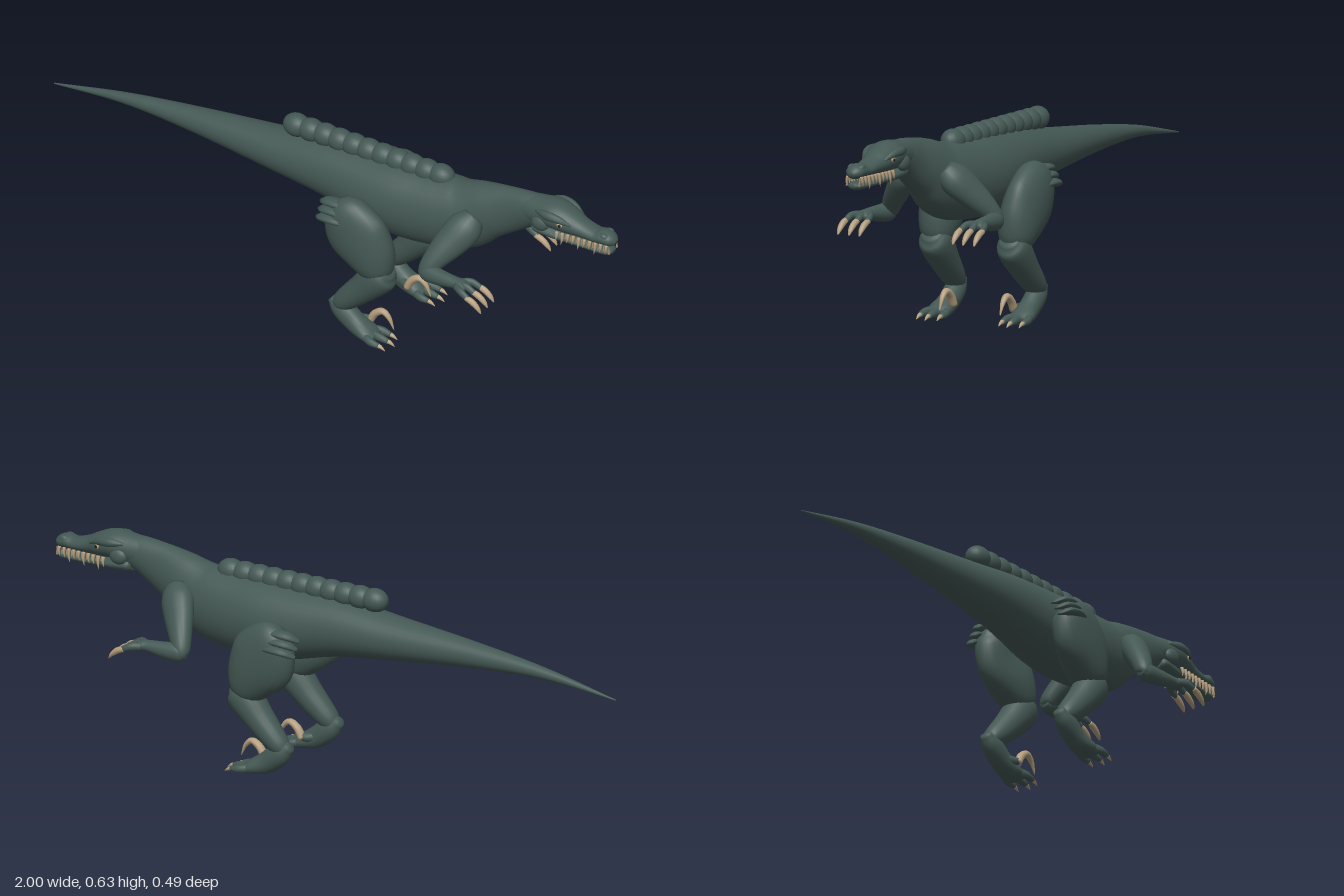
import * as THREE from 'three';

const mat = (name, color) => {
  const m = new THREE.MeshStandardMaterial({ color });
  m.name = name;
  return m;
};

export function createModel() {
  const skin = mat('dark green skin', 0x445854);
  const horn = mat('tan horn', 0xb39d7d);
  const dark = mat('pupil black', 0x15181a);
  const model = new THREE.Group();
  model.name = 'longTailedRaptor';

  // Smooth tube through elliptical sections [x, y, z, halfHeight, halfWidth]
  function loft(parent, name, sections, material = skin, sides = 20, sub = 5) {
    const curve = (f) => new THREE.CatmullRomCurve3(sections.map(f), false, 'catmullrom', 0.5);
    const path = curve((s) => new THREE.Vector3(s[0], s[1], s[2]));
    const size = curve((s) => new THREE.Vector3(s[3], s[4], 0));
    const rings = (sections.length - 1) * sub;
    const pos = [], index = [];
    const ring = (t, k) => {
      const c = path.getPoint(t), r = size.getPoint(t), tan = path.getTangent(t);
      const side = new THREE.Vector3(0, 0, 1).addScaledVector(tan, -tan.z).normalize();
      const up = side.clone().cross(tan);
      for (let j = 0; j < sides; j++) {
        const a = (j / sides) * Math.PI * 2;
        const p = c.clone()
          .addScaledVector(up, Math.cos(a) * Math.max(r.x, 0) * k)
          .addScaledVector(side, Math.sin(a) * Math.max(r.y, 0) * k);
        pos.push(p.x, p.y, p.z);
      }
    };
    ring(0, 0);
    for (let i = 0; i <= rings; i++) ring(i / rings, 1);
    ring(1, 0);
    for (let i = 0; i < rings + 2; i++) {
      for (let j = 0; j < sides; j++) {
        const a = i * sides + j, b = i * sides + (j + 1) % sides;
        index.push(a, b, a + sides, b, b + sides, a + sides);
      }
    }
    const g = new THREE.BufferGeometry();
    g.setAttribute('position', new THREE.Float32BufferAttribute(pos, 3));
    g.setIndex(index);
    g.computeVertexNormals();
    const mesh = new THREE.Mesh(g, material);
    mesh.name = name;
    parent.add(mesh);
    return mesh;
  }

  function ellipsoid(parent, name, p, r, material = skin) {
    const mesh = new THREE.Mesh(new THREE.SphereGeometry(1, 20, 14), material);
    mesh.position.set(...p);
    mesh.scale.set(...r);
    mesh.name = name;
    parent.add(mesh);
    return mesh;
  }

  // Tail, trunk and neck in one sweep
  loft(model, 'body', [
    [-1, 0.42, 0, 0.002, 0.002], [-0.75, 0.457, 0, 0.018, 0.018],
    [-0.5, 0.47, 0, 0.04, 0.04], [-0.2, 0.472, 0, 0.07, 0.072],
    [0, 0.472, 0, 0.095, 0.09], [0.2, 0.455, 0, 0.122, 0.108],
    [0.35, 0.457, 0, 0.123, 0.1], [0.46, 0.475, 0, 0.115, 0.085],
    [0.55, 0.518, 0, 0.092, 0.064], [0.63, 0.55, 0, 0.074, 0.046],
    [0.7, 0.573, 0, 0.057, 0.042], [0.76, 0.58, 0, 0.045, 0.044],
  ], skin, 32, 7);

  // Row of rounded back segments
  const ridge = new THREE.Group();
  ridge.name = 'backRidge';
  model.add(ridge);
  for (let i = 0; i < 11; i++) {
    ellipsoid(ridge, 'ridgeSegment', [-0.137 + i * 0.0515, 0.579, 0], [0.044, 0.037, 0.036]);
  }

  // Head
  const head = new THREE.Group();
  head.name = 'head';
  model.add(head);
  loft(head, 'skullAndSnout', [
    [0.68, 0.575, 0, 0.05, 0.04], [0.74, 0.585, 0, 0.046, 0.048],
    [0.79, 0.589, 0, 0.045, 0.056], [0.84, 0.579, 0, 0.038, 0.048],
    [0.88, 0.57, 0, 0.028, 0.037], [0.93, 0.563, 0, 0.021, 0.033],
    [0.96, 0.566, 0, 0.023, 0.032], [0.985, 0.561, 0, 0.019, 0.026],
    [1, 0.557, 0, 0.007, 0.01],
  ], skin, 28);
  loft(head, 'lowerJaw', [
    [0.718, 0.538, 0, 0.02, 0.034], [0.735, 0.537, 0, 0.024, 0.046],
    [0.8, 0.53, 0, 0.02, 0.043], [0.9, 0.522, 0, 0.013, 0.031],
    [0.97, 0.521, 0, 0.013, 0.026], [0.99, 0.523, 0, 0.006, 0.014],
  ]);
  for (const s of [1, -1]) {
    loft(head, 'brow', [
      [0.74, 0.605, s * 0.04, 0.005, 0.006], [0.78, 0.606, s * 0.05, 0.014, 0.012],
      [0.82, 0.602, s * 0.047, 0.012, 0.012], [0.86, 0.587, s * 0.036, 0.004, 0.005],
    ], skin, 12);
    ellipsoid(head, 'cheek', [0.755, 0.565, s * 0.043], [0.03, 0.025, 0.016]);
    ellipsoid(head, 'eye', [0.826, 0.585, s * 0.046], [0.012, 0.009, 0.008], horn);
    ellipsoid(head, 'pupil', [0.829, 0.585, s * 0.0525], [0.005, 0.005, 0.003], dark);
    ellipsoid(head, 'nostrilBump', [0.965, 0.575, s * 0.018], [0.016, 0.012, 0.011]);
    // Upper teeth hang outside the jaw, lower teeth stand between them
    for (let i = 0; i < 10; i++) {
      const x = 0.812 + i * 0.0185, z = s * (0.041 - i * 0.0016);
      const drop = i % 3 === 1 ? 0.042 : 0.03;
      loft(head, 'upperTooth', [
        [x, 0.551, z * 0.9, 0.006, 0.005], [x, 0.551 - drop * 0.5, z, 0.0045, 0.004],
        [x - 0.004, 0.551 - drop, z, 0.0005, 0.0005],
      ], horn, 8, 3);
      loft(head, 'lowerTooth', [
        [x + 0.009, 0.523, z * 0.82, 0.004, 0.004], [x + 0.009, 0.549, z * 0.88, 0.001, 0.001],
      ], horn, 6, 2);
    }
  }

  function leg(s, name) {
    const g = new THREE.Group();
    g.name = name;
    model.add(g);
    loft(g, 'thigh', [
      [0.105, 0.478, s * 0.14, 0.03, 0.02], [0.125, 0.45, s * 0.147, 0.075, 0.048],
      [0.165, 0.385, s * 0.147, 0.108, 0.056], [0.205, 0.325, s * 0.14, 0.093, 0.06],
      [0.235, 0.27, s * 0.136, 0.062, 0.052], [0.25, 0.238, s * 0.135, 0.03, 0.03],
    ], skin, 24);
    // Skin folds over the hip
    for (let i = 0; i < 3; i++) {
      const y = 0.472 - i * 0.022, z = 0.16 + i * 0.012;
      loft(g, 'hipFold', [
        [0.042, y - 0.018, s * (z - 0.015), 0.004, 0.008], [0.075, y - 0.002, s * z, 0.012, 0.022],
        [0.125, y, s * z, 0.011, 0.022], [0.175, y - 0.012, s * (z - 0.015), 0.003, 0.006],
      ], skin, 14);
    }
    loft(g, 'shin', [
      [0.275, 0.272, s * 0.135, 0.025, 0.03], [0.25, 0.25, s * 0.135, 0.055, 0.05],
      [0.185, 0.178, s * 0.137, 0.046, 0.045], [0.12, 0.115, s * 0.14, 0.034, 0.035],
      [0.09, 0.092, s * 0.14, 0.018, 0.02],
    ]);
    loft(g, 'foot', [
      [0.078, 0.112, s * 0.14, 0.016, 0.018], [0.11, 0.085, s * 0.14, 0.035, 0.031],
      [0.16, 0.047, s * 0.14, 0.034, 0.033], [0.21, 0.027, s * 0.142, 0.023, 0.04],
      [0.235, 0.02, s * 0.142, 0.012, 0.032],
    ]);
    for (const d of [-0.035, 0, 0.036]) {
      const z = s * (0.142 + d), reach = d === 0 ? 0.012 : 0;
      loft(g, 'toe', [
        [0.2, 0.028, s * (0.142 + d * 0.6), 0.014, 0.012],
        [0.235 + reach, 0.023, z, 0.013, 0.012], [0.265 + reach, 0.018, z, 0.008, 0.009],
      ], skin, 12);
      loft(g, 'toeClaw', [
        [0.255 + reach, 0.02, z, 0.008, 0.008], [0.272 + reach, 0.017, z, 0.006, 0.006],
        [0.288 + reach, 0.008, z, 0.001, 0.001],
      ], horn, 10);
    }
    // Raised sickle claw on the inner toe
    loft(g, 'innerToe', [
      [0.15, 0.055, s * 0.125, 0.014, 0.014], [0.18, 0.05, s * 0.11, 0.014, 0.013],
      [0.2, 0.058, s * 0.105, 0.01, 0.01],
    ], skin, 12);
    loft(g, 'sickleClaw', [
      [0.19, 0.045, s * 0.105, 0.012, 0.014], [0.208, 0.076, s * 0.105, 0.012, 0.013],
      [0.235, 0.092, s * 0.105, 0.01, 0.011], [0.258, 0.075, s * 0.105, 0.007, 0.008],
      [0.274, 0.04, s * 0.105, 0.001, 0.002],
    ], horn, 12);
  }

  function arm(s, name) {
    const g = new THREE.Group();
    g.name = name;
    model.add(g);
    loft(g, 'upperArm', [
      [0.53, 0.515, s * 0.055, 0.035, 0.035], [0.515, 0.487, s * 0.085, 0.054, 0.043],
      [0.487, 0.445, s * 0.122, 0.05, 0.039], [0.455, 0.395, s * 0.163, 0.036, 0.032],
      [0.437, 0.358, s * 0.185, 0.025, 0.025], [0.432, 0.343, s * 0.188, 0.01, 0.012],
    ]);
    loft(g, 'forearm', [
      [0.42, 0.357, s * 0.184, 0.015, 0.015], [0.445, 0.357, s * 0.186, 0.029, 0.026],
      [0.5, 0.359, s * 0.193, 0.025, 0.023], [0.55, 0.363, s * 0.197, 0.018, 0.02],
      [0.575, 0.362, s * 0.198, 0.014, 0.028], [0.592, 0.357, s * 0.198, 0.007, 0.022],
    ]);
    for (const d of [-0.036, 0, 0.038]) {
      const z = s * (0.198 + d);
      loft(g, 'finger', [
        [0.562, 0.362, s * (0.198 + d * 0.4), 0.012, 0.01],
        [0.59, 0.362, s * (0.198 + d * 0.85), 0.012, 0.01], [0.622, 0.348, z, 0.009, 0.009],
      ], skin, 12);
      loft(g, 'fingerClaw', [
        [0.612, 0.352, z, 0.009, 0.009], [0.635, 0.343, z, 0.01, 0.01],
        [0.654, 0.328, z, 0.007, 0.008], [0.665, 0.313, z, 0.001, 0.003],
      ], horn, 12);
    }
  }

  leg(1, 'rightLeg');
  leg(-1, 'leftLeg');
  arm(1, 'rightArm');
  arm(-1, 'leftArm');
  return model;
}
